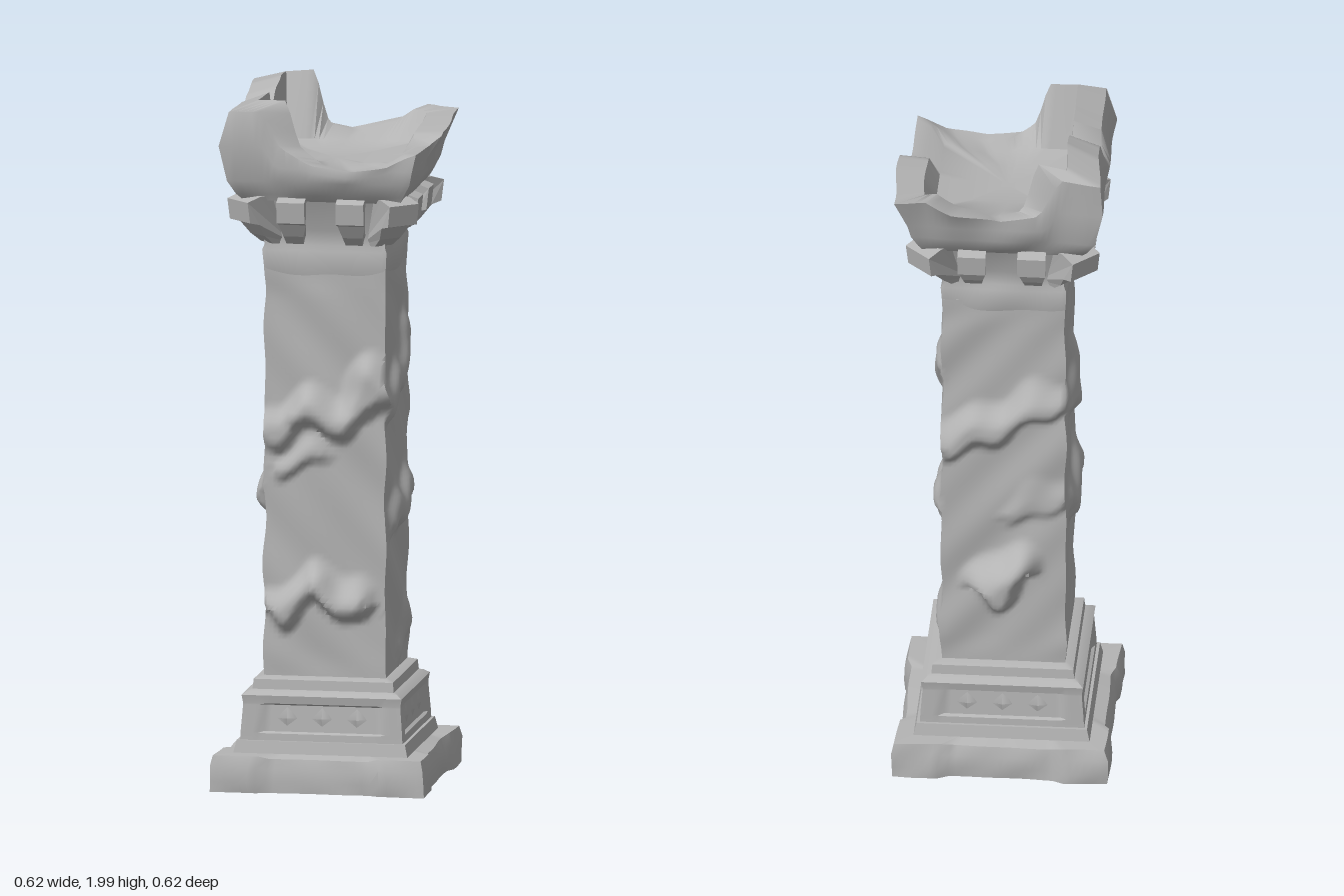
import * as THREE from 'three';
import { toCreasedNormals } from 'three/addons/utils/BufferGeometryUtils.js';

const SIDE = 28; // columns per side of every square loop
const { lerp, clamp, smoothstep } = THREE.MathUtils;

// Gentle uneven stone wear, the same for equal positions
const wear = (x, y, z) =>
  (Math.sin(17 * x + 9 * y + 1) * Math.sin(14 * z - 11 * y + 2) + 0.6 * Math.sin(31 * x - 23 * z + 27 * y)) / 1.6;

// Linear lookup in a list of [position, value] pairs
function lookup(list, v) {
  if (v <= list[0][0]) return list[0][1];
  for (let i = 1; i < list.length; i++) {
    const [a, p] = list[i - 1], [b, q] = list[i];
    if (v <= b) return p + ((q - p) * (v - a)) / (b - a);
  }
  return list[list.length - 1][1];
}

// Stack of square loops [half width, y]; warp moves each point.
// sx and sz are the point's place on a unit square (-1 to 1).
function squareLoft(rings, warp, crease = 0.65) {
  const pos = [], index = [], n = SIDE * 4;
  rings.forEach(([half, y], r) => {
    for (let i = 0; i < n; i++) {
      const t = ((i % SIDE) / SIDE) * 2 - 1;
      const [sx, sz] = [[t, 1], [1, -t], [-t, -1], [-1, t]][Math.floor(i / SIDE)];
      const p = new THREE.Vector3(sx * half, y, sz * half);
      if (half > 0) warp(p, sx, sz, r);
      pos.push(p.x, p.y, p.z);
    }
  });
  for (let r = 0; r < rings.length - 1; r++) {
    for (let i = 0; i < n; i++) {
      const a = r * n + i, b = r * n + ((i + 1) % n), c = b + n, d = a + n;
      if (rings[r][0] > 0) index.push(a, b, c);
      if (rings[r + 1][0] > 0) index.push(a, c, d);
    }
  }
  const g = new THREE.BufferGeometry();
  g.setAttribute('position', new THREE.Float32BufferAttribute(pos, 3));
  g.setIndex(index);
  return toCreasedNormals(g, crease);
}

// Eroded ledges per face: [face, u1, y1, u2, y2, width, height]; faces: front, left, back, right
const LEDGES = [
  [0, -0.16, 1.0, -0.06, 1.07, 0.05, 0.035], [0, -0.06, 1.07, 0.07, 1.05, 0.055, 0.055],
  [0, 0.07, 1.05, 0.15, 1.16, 0.06, 0.045], [0, -0.12, 0.92, -0.03, 0.95, 0.035, 0.02],
  [0, -0.12, 0.5, -0.02, 0.57, 0.05, 0.045], [0, -0.02, 0.57, 0.1, 0.51, 0.05, 0.06],
  [1, -0.15, 1.1, 0.0, 1.16, 0.055, 0.025], [1, 0.0, 1.16, 0.1, 1.26, 0.055, 0.025],
  [1, -0.1, 0.75, 0.13, 0.82, 0.055, 0.028], [1, 0.05, 0.38, 0.13, 0.45, 0.05, 0.012],
  [2, -0.15, 1.03, 0.0, 1.1, 0.06, 0.045], [2, 0.0, 1.1, 0.13, 1.17, 0.055, 0.045],
  [2, -0.02, 0.55, 0.02, 0.6, 0.07, 0.065], [2, 0.05, 0.8, 0.14, 0.86, 0.05, 0.015],
  [3, -0.1, 1.14, -0.06, 1.25, 0.07, 0.035], [3, -0.07, 0.78, 0.1, 0.84, 0.06, 0.032],
];

// A ledge drops sharply below and blends softly into the wall above
function ledgeHeight(face, u0, y0) {
  const u = u0 + 0.012 * Math.sin(38 * y0 + 2 * face), y = y0 + 0.016 * Math.sin(41 * u0 + face);
  let h = 0;
  for (const [f, u1, y1, u2, y2, w, amp] of LEDGES) {
    if (f !== face) continue;
    const du = u2 - u1, dy = y2 - y1;
    const s = clamp(((u - u1) * du + (y - y1) * dy) / (du * du + dy * dy), 0, 1);
    const up = y - y1 - s * dy;
    const dist = Math.hypot(u - u1 - s * du, up);
    h = Math.max(h, amp * (1 - smoothstep(dist, w * 0.2, w * (up > 0 ? 1.6 : 0.95))));
  }
  return h;
}

function shaftGeometry() {
  const rings = [[0, 0.3]];
  for (let i = 0; i <= 80; i++) rings.push([0.175, 0.3 + (i / 80) * 1.2]);
  rings.push([0, 1.5]);
  return squareLoft(rings, (p, sx, sz) => {
    const { x, y, z } = p;
    const fade = smoothstep(y, 0.3, 0.4) * (1 - smoothstep(y, 1.4, 1.5));
    const push = (face, u) => ledgeHeight(face, u, y) + 0.007 * fade * wear(x, y, z);
    if (sz === 1) p.z += push(0, x);
    if (sx === 1) p.x += push(1, -z);
    if (sz === -1) p.z -= push(2, -x);
    if (sx === -1) p.x -= push(3, z);
  }, 1.2);
}

// Broken rim heights along the front, back, left and right walls
const FRONT_RIM = [[-1, 1.95], [-0.62, 1.95], [-0.42, 1.85], [-0.1, 1.8], [0.3, 1.785], [0.7, 1.8], [1, 1.84]];
const BACK_RIM = [[-1, 1.95], [-0.62, 1.96], [-0.4, 1.84], [0, 1.82], [0.5, 1.85], [0.8, 1.89], [1, 1.88]];
const LEFT_RIM = [[-1, 1.88], [-0.3, 1.87], [0.05, 1.86], [0.15, 1.83], [1, 1.84]];
const RIGHT_RIM = [[-1, 1.95], [-0.5, 1.96], [-0.1, 1.94], [0.1, 1.88], [0.2, 1.94], [1, 1.95]];

function rimHeight(sx, sz) {
  if (sx === 1) return lookup(LEFT_RIM, sz);
  if (sx === -1) return lookup(RIGHT_RIM, sz);
  return lookup(sz > 0 ? FRONT_RIM : BACK_RIM, sx);
}

function bowlGeometry() {
  // Outside from below, over the rim, then down to the floor
  const rings = [[0, 1.69], [0.225, 1.69], [0.24, 1.71], [0.262, 1.75], [0.268, 1.78],
    [0.275, 2], [0.23, 2], [0.18, 1.8], [0.1, 1.785], [0, 1.78]];
  return squareLoft(rings, (p, sx, sz, r) => {
    const h = rimHeight(sx, sz), tall = smoothstep(-sx, 0.45, 0.65);
    const n = wear(p.x, p.y, p.z), across = (sx + 1) / 2;
    if (r === 4) {
      p.y = lerp(Math.min(1.79, h - 0.02), 1.85, tall);
      if (sx === -1) p.x = -0.286;
    }
    if (r === 5) {
      p.y = h;
      if (sx === 1) p.x = sz < 0.1 ? 0.306 : 0.28;
      if (sx === -1) p.x = -0.264 + 0.012 * sz;
      p.z = sz < 0 ? sz * (0.272 + 0.03 * smoothstep(sx, 0, 0.7)) : sz * 0.266;
    }
    if (r === 6) p.set(lerp(-0.18, sz < 0.1 ? 0.225 : 0.24, across), h + 0.035 * tall - 0.005, sz * 0.235);
    if (r === 7) p.set(lerp(-0.17, 0.195, across), Math.min(1.8, h - 0.01), sz * 0.175);
    if (r > 1 && r < 7) {
      p.x += sx * 0.007 * n;
      p.z += sz * 0.007 * n;
    }
  }, 0.8);
}

export function createModel() {
  const group = new THREE.Group();
  const stone = new THREE.MeshStandardMaterial({ color: 0xb4b4b4 });
  stone.name = 'stone';
  const add = (name, geometry, parent = group) => {
    const mesh = new THREE.Mesh(geometry, stone);
    mesh.name = name;
    parent.add(mesh);
    return mesh;
  };

  // Plinth with raised corner blocks and worn edges
  add('plinth', squareLoft([[0, 0], [0.3, 0], [0.302, 0.03], [0.299, 0.07], [0.29, 0.1], [0.25, 0.105], [0.242, 0.14], [0, 0.14]],
    (p, sx, sz, r) => {
      if (r > 4) return;
      const corner = Math.min(Math.abs(sx), Math.abs(sz)) > 0.5;
      const k = (corner ? 0.007 : -0.006) + 0.005 * wear(p.x, p.y * 2, p.z);
      p.x += sx * k;
      p.z += sz * k;
      if (r > 2) p.y += corner ? 0.004 : -0.004;
    }));

  // Base block with sunken panels and stepped mouldings
  add('baseBlock', squareLoft([[0, 0.13], [0.234, 0.13], [0.232, 0.16], [0.232, 0.165], [0.226, 0.24], [0.226, 0.245],
    [0.23, 0.268], [0.215, 0.278], [0.203, 0.282], [0.2, 0.31], [0.176, 0.318], [0, 0.318]],
    (p, sx, sz, r) => {
      if ((r === 3 || r === 4) && Math.min(Math.abs(sx), Math.abs(sz)) < 0.75) {
        if (Math.abs(sx) === 1) p.x -= sx * 0.009;
        if (Math.abs(sz) === 1) p.z -= sz * 0.009;
      }
    }));

  add('shaft', shaftGeometry());
  add('collar', squareLoft([[0, 1.46], [0.172, 1.46], [0.177, 1.485], [0.179, 1.54], [0.172, 1.556], [0.178, 1.6], [0.215, 1.695], [0, 1.695]],
    (p, sx, sz) => {
      const k = 0.004 * wear(p.x, p.y, p.z);
      p.x += sx * k;
      p.z += sz * k;
    }));

  // Bracket: side profile pushed out to its width, narrowing towards the foot
  const profile = [[0.13, 1.555], [0.185, 1.56], [0.21, 1.585], [0.232, 1.622], [0.258, 1.63], [0.265, 1.69], [0.23, 1.703], [0.13, 1.703]];
  const bracket = (width, reach) => {
    const shape = new THREE.Shape(profile.map(([r, y]) => new THREE.Vector2(r * reach, y)));
    const g = new THREE.ExtrudeGeometry(shape, { depth: width, bevelEnabled: false }).translate(0, 0, -width / 2);
    const p = g.attributes.position;
    for (let i = 0; i < p.count; i++) p.setZ(i, p.getZ(i) * lerp(0.6, 1, smoothstep(p.getY(i), 1.56, 1.63)));
    g.computeVertexNormals();
    return g;
  };
  const midBracket = bracket(0.08, 0.98), cornerBracket = bracket(0.1, 1.28);
  const diamond = new THREE.ConeGeometry(0.032, 0.008, 4).rotateX(Math.PI / 2);

  for (let k = 0; k < 4; k++) {
    const side = new THREE.Group();
    side.name = 'side' + (k + 1);
    side.rotation.y = (k * Math.PI) / 2;
    group.add(side);
    for (const z of [-0.085, 0.085]) add('bracket', midBracket, side).position.z = z;
    add('cornerBracket', cornerBracket, side).rotation.y = Math.PI / 4;
    // Carved diamonds in the base panel
    for (const x of [-0.1, 0, 0.1]) add('panelDiamond', diamond, side).position.set(x, 0.203, 0.223);
  }

  add('brokenBowl', bowlGeometry());
  return group;
}
